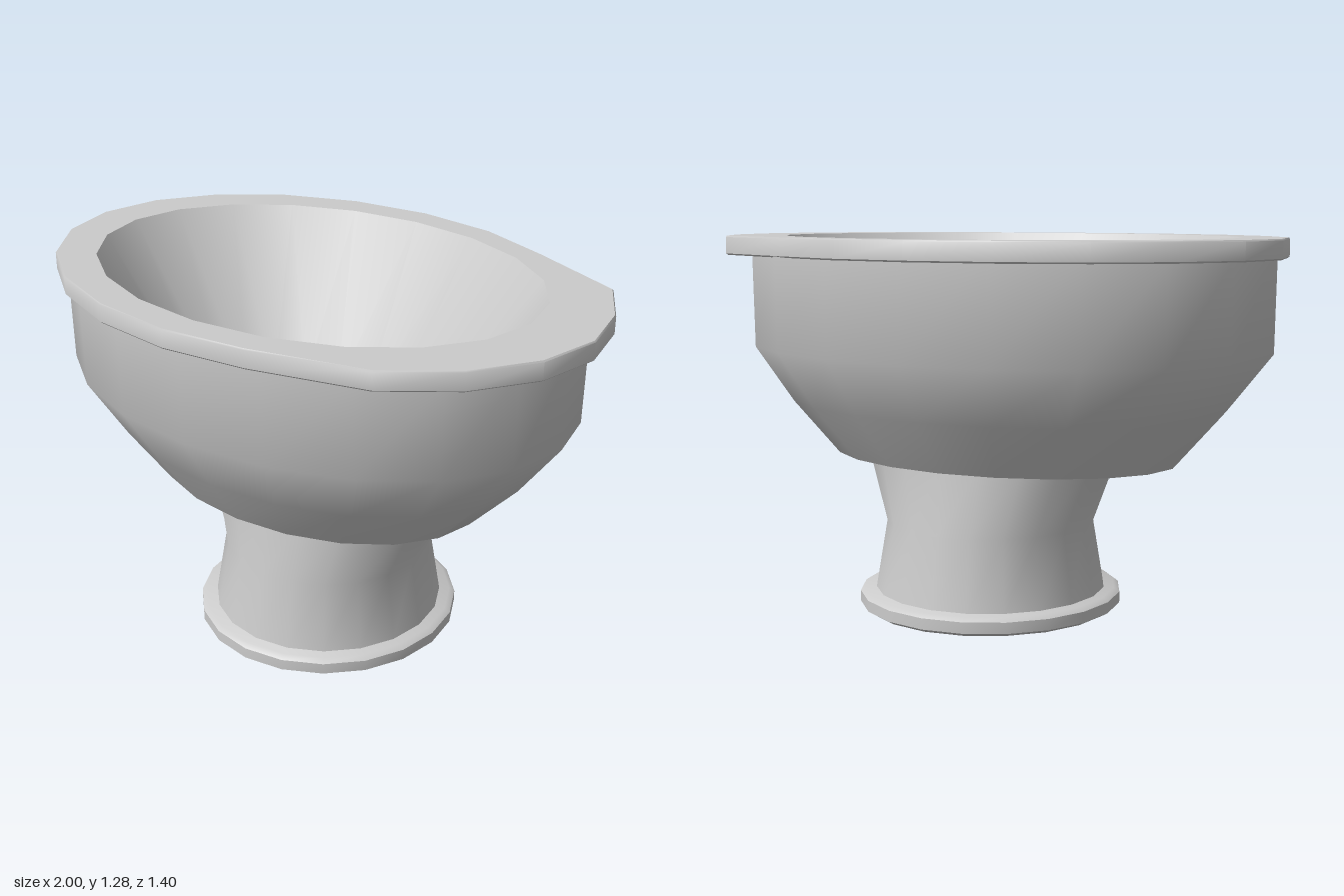
import * as THREE from 'three';
import { toCreasedNormals } from 'three/addons/utils/BufferGeometryUtils.js';

const SIDES = 20;
const material = new THREE.MeshStandardMaterial({ color: 0xcccccc, side: THREE.DoubleSide });

// How strongly each corner of the lip is pulled towards +x
const PULL = { 0: 1, 1: 1, 2: 1, 3: 1, 18: 1.2, 19: 1 };

// Skins a stack of oval rings: [y, centreX, radiusX, radiusZ, lipShift]
function loft(name, rings, crease = 0.72) {
  const pos = [];
  const index = [];
  rings.forEach(([y, cx, rx, rz, shift = 0]) => {
    for (let i = 0; i < SIDES; i++) {
      const a = (i / SIDES) * Math.PI * 2;
      pos.push(cx + rx * Math.cos(a) + shift * (PULL[i] ?? 0), y, rz * Math.sin(a));
    }
  });
  for (let j = 0; j < rings.length - 1; j++) {
    for (let i = 0; i < SIDES; i++) {
      const a = j * SIDES + i;
      const b = j * SIDES + ((i + 1) % SIDES);
      const c = a + SIDES;
      const d = b + SIDES;
      // rings of zero radius close the shape with a fan
      if (rings[j][2] > 0) index.push(a, c, b);
      if (rings[j + 1][2] > 0) index.push(b, c, d);
    }
  }
  const geo = new THREE.BufferGeometry();
  geo.setAttribute('position', new THREE.Float32BufferAttribute(pos, 3));
  geo.setIndex(index);
  const mesh = new THREE.Mesh(toCreasedNormals(geo, crease), material);
  mesh.name = name;
  return mesh;
}

export function createModel() {
  const group = new THREE.Group();
  group.name = 'pedestalBowl';

  // Chamfered foot disc
  group.add(loft('foot', [
    [0, 0.03, 0, 0],
    [0, 0.03, 0.435, 0.45],
    [0.012, 0.03, 0.455, 0.468],
    [0.05, 0.03, 0.455, 0.468],
    [0.063, 0.03, 0.435, 0.45],
    [0.063, 0.03, 0, 0],
  ]));

  // Waisted pedestal
  group.add(loft('pedestal', [
    [0.06, 0.03, 0.4, 0.412],
    [0.3, 0.03, 0.36, 0.37],
    [0.53, 0.03, 0.455, 0.347],
  ], 1));

  // Outside of the bowl with its flat underside
  group.add(loft('bowl', [
    [0.53, -0.02, 0, 0],
    [0.53, -0.02, 0.63, 0.437],
    [0.71, -0.015, 0.795, 0.56],
    [0.9, -0.02, 0.94, 0.67],
    [1.22, -0.02, 0.943, 0.676],
  ], 0.85));

  // Flat rim with a lip at one end
  group.add(loft('rim', [
    [1.214, -0.03, 0.815, 0.59],
    [1.214, -0.06, 0.934, 0.695, 0.12],
    [1.219, -0.06, 0.94, 0.7, 0.12],
    [1.275, -0.06, 0.94, 0.7, 0.12],
    [1.28, -0.06, 0.936, 0.697, 0.12],
    [1.28, -0.03, 0.815, 0.593],
  ]));

  // Inside of the bowl, sloping straight down to a flat floor
  group.add(loft('basin', [
    [1.28, -0.03, 0.815, 0.593],
    [0.71, -0.025, 0.415, 0.305],
    [0.71, -0.025, 0, 0],
  ]));

  return group;
}
